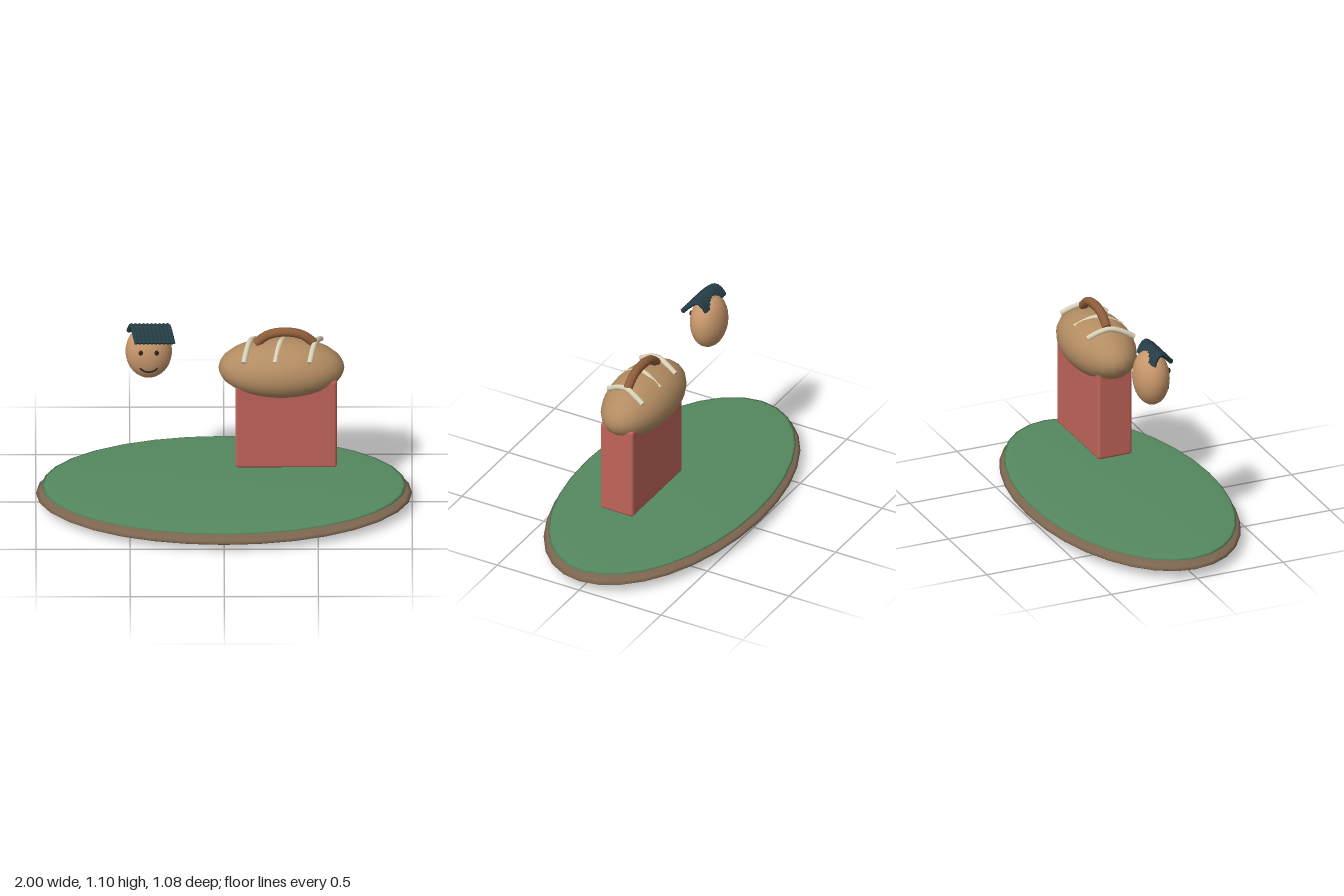
import * as THREE from 'three';
import { RoundedBoxGeometry } from 'three/addons/geometries/RoundedBoxGeometry.js';

const material = (color) => new THREE.MeshStandardMaterial({ color });
const wood = material(0x7d6650), grass = material(0x55895f), red = material(0xc0645a);
const crust = material(0xb38c62), brown = material(0x8f5d3a), cream = material(0xdcd3b6);
const skin = material(0xc9986c), hair = material(0x263f47), dark = material(0x2a2622);

export function createModel() {
  const model = new THREE.Group();

  function add(name, geometry, mat, parent = model) {
    const mesh = new THREE.Mesh(geometry, mat);
    mesh.name = name;
    parent.add(mesh);
    return mesh;
  }

  // Ellipsoid from centre and three radii
  function ellipsoid(name, [x, y, z], [rx, ry, rz], mat, parent, sides = 20, rings = 14) {
    const geometry = new THREE.SphereGeometry(1, sides, rings);
    geometry.scale(rx, ry, rz);
    geometry.translate(x, y, z);
    return add(name, geometry, mat, parent);
  }

  // Round bar along a smooth curve, with flat end caps
  function bar(name, points, radius, mat, parent, sides = 8, steps = 14) {
    const curve = new THREE.CatmullRomCurve3(points.map((p) => new THREE.Vector3(...p)));
    add(name, new THREE.TubeGeometry(curve, steps, radius, sides), mat, parent);
    for (const t of [0, 1]) {
      const cap = add(name + 'Cap', new THREE.CircleGeometry(radius, sides), mat, parent);
      const outward = curve.getTangent(t).multiplyScalar(t ? 1 : -1);
      cap.position.copy(curve.getPoint(t));
      cap.quaternion.setFromUnitVectors(new THREE.Vector3(0, 0, 1), outward);
    }
  }

  // Oval base with a green top
  ellipsoid('base', [0, 0.058, 0], [1, 0.056, 0.542], wood, model, 32, 16);
  ellipsoid('greenTop', [0, 0.104, 0], [0.97, 0.018, 0.52], grass, model, 32, 16);

  // Upright box under the loaf
  add('box', new RoundedBoxGeometry(0.54, 0.535, 0.2, 3, 0.016), red).position.set(0.33, 0.5335, 0);

  // Loaf with arched handle and three slanted stripes
  const loaf = new THREE.Group();
  loaf.name = 'loaf';
  model.add(loaf);
  ellipsoid('loafBody', [0.305, 0.831, 0], [0.335, 0.158, 0.182], crust, loaf, 24, 16);
  bar('handle', [[0.17, 0.98, 0], [0.235, 1.03, 0], [0.325, 1.047, 0], [0.415, 1.03, 0], [0.48, 0.98, 0]],
    0.025, brown, loaf, 10);
  for (const x of [0.135, 0.3, 0.485]) {
    bar('stripe', [[x - 0.03, 0.93, 0.13], [x - 0.016, 0.967, 0.065], [x, 0.985, 0],
      [x + 0.016, 0.969, -0.055], [x + 0.03, 0.939, -0.115]], 0.015, cream, loaf);
  }

  // Floating head
  const head = new THREE.Group();
  head.name = 'head';
  model.add(head);
  ellipsoid('face', [-0.4, 0.931, 0], [0.124, 0.155, 0.095], skin, head, 24, 16);
  for (const side of [-1, 1]) {
    ellipsoid('eye', [-0.4 + side * 0.042, 0.968, 0.086], [0.012, 0.015, 0.009], dark, head, 10, 8);
  }
  bar('smile', [[-0.447, 0.872, 0.081], [-0.425, 0.855, 0.082], [-0.4, 0.849, 0.082],
    [-0.375, 0.855, 0.082], [-0.353, 0.872, 0.081]], 0.005, dark, head, 6);

  // Row of slanted hair strands, back to front over the crown
  for (let i = 0; i < 10; i++) {
    const x = -0.505 + i * 0.0212;
    bar('hairStrand', [[x, 1.038, -0.032], [x + 0.008, 1.072, -0.014], [x + 0.017, 1.092, 0.013],
      [x + 0.029, 1.07, 0.05], [x + 0.043, 1.028, 0.09]], 0.0135, hair, head);
  }

  return model;
}
